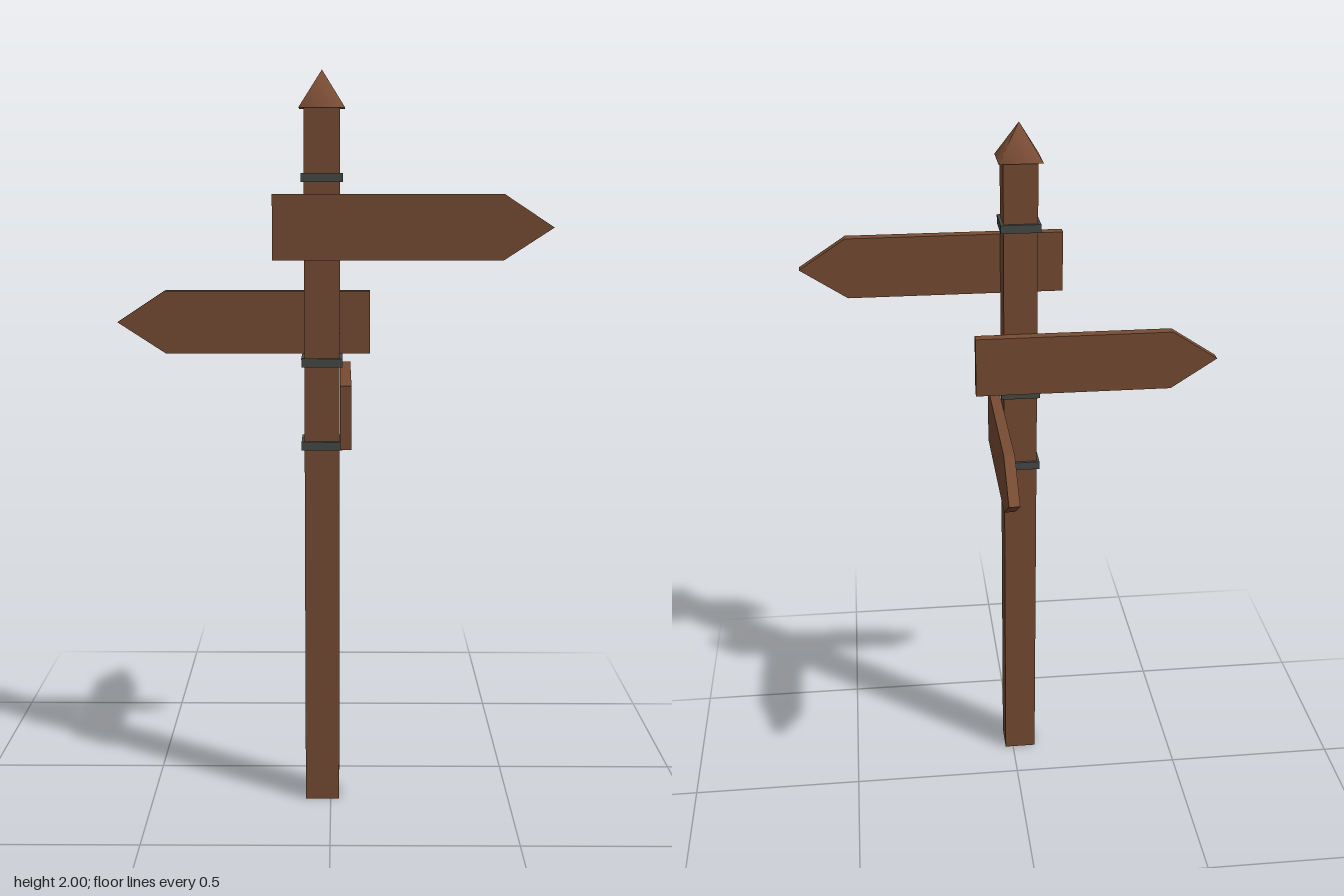
import * as THREE from 'three';

const POST_X = -0.023, POST_Z = 0.173;

export function createModel() {
  const wood = new THREE.MeshStandardMaterial({ color: 0x784c34 });
  wood.name = 'brown wood';
  const iron = new THREE.MeshStandardMaterial({ color: 0x484a48 });
  iron.name = 'dark iron';

  const model = new THREE.Group();
  model.name = 'signpost';

  const add = (name, geometry, material, x, y, z) => {
    const mesh = new THREE.Mesh(geometry, material);
    mesh.name = name;
    mesh.position.set(x, y, z);
    model.add(mesh);
    return mesh;
  };

  // Square post with a pyramid cap
  add('post', new THREE.BoxGeometry(0.094, 1.904, 0.094), wood, POST_X, 0.952, POST_Z);
  const cap = new THREE.ConeGeometry(0.06 * Math.SQRT2, 0.098, 4);
  cap.rotateY(Math.PI / 4);
  add('cap', cap, wood, POST_X, 1.951, POST_Z);

  // Iron bands around the post
  [1.725, 1.241, 1.016].forEach((y, i) => {
    add('band' + (i + 1), new THREE.BoxGeometry(0.11, 0.023, 0.11), iron, POST_X, y, POST_Z);
  });

  // Arrow board pointing along +x, centred on its height and thickness
  const board = (name, tail, shoulder, tip) => {
    const h = 0.085, depth = 0.03;
    const shape = new THREE.Shape([
      new THREE.Vector2(tail, -h),
      new THREE.Vector2(shoulder, -h),
      new THREE.Vector2(tip, 0),
      new THREE.Vector2(shoulder, h),
      new THREE.Vector2(tail, h),
    ]);
    const geometry = new THREE.ExtrudeGeometry(shape, { depth, bevelEnabled: false });
    geometry.translate(0, 0, -depth / 2);
    return add(name, geometry, wood, 0, 0, 0);
  };

  // Front board points left, back board points right, side board points back
  board('frontBoard', -0.152, 0.45, 0.58).position.set(0, 1.598, 0.235);
  const back = board('backBoard', -0.106, 0.45, 0.58);
  back.rotation.y = Math.PI;
  back.position.set(0, 1.338, 0.11);
  const side = board('sideBoard', -0.302, 0.17, 0.302);
  side.rotation.y = Math.PI / 2;
  side.position.set(0.04, 1.106, 0);

  return model;
}
